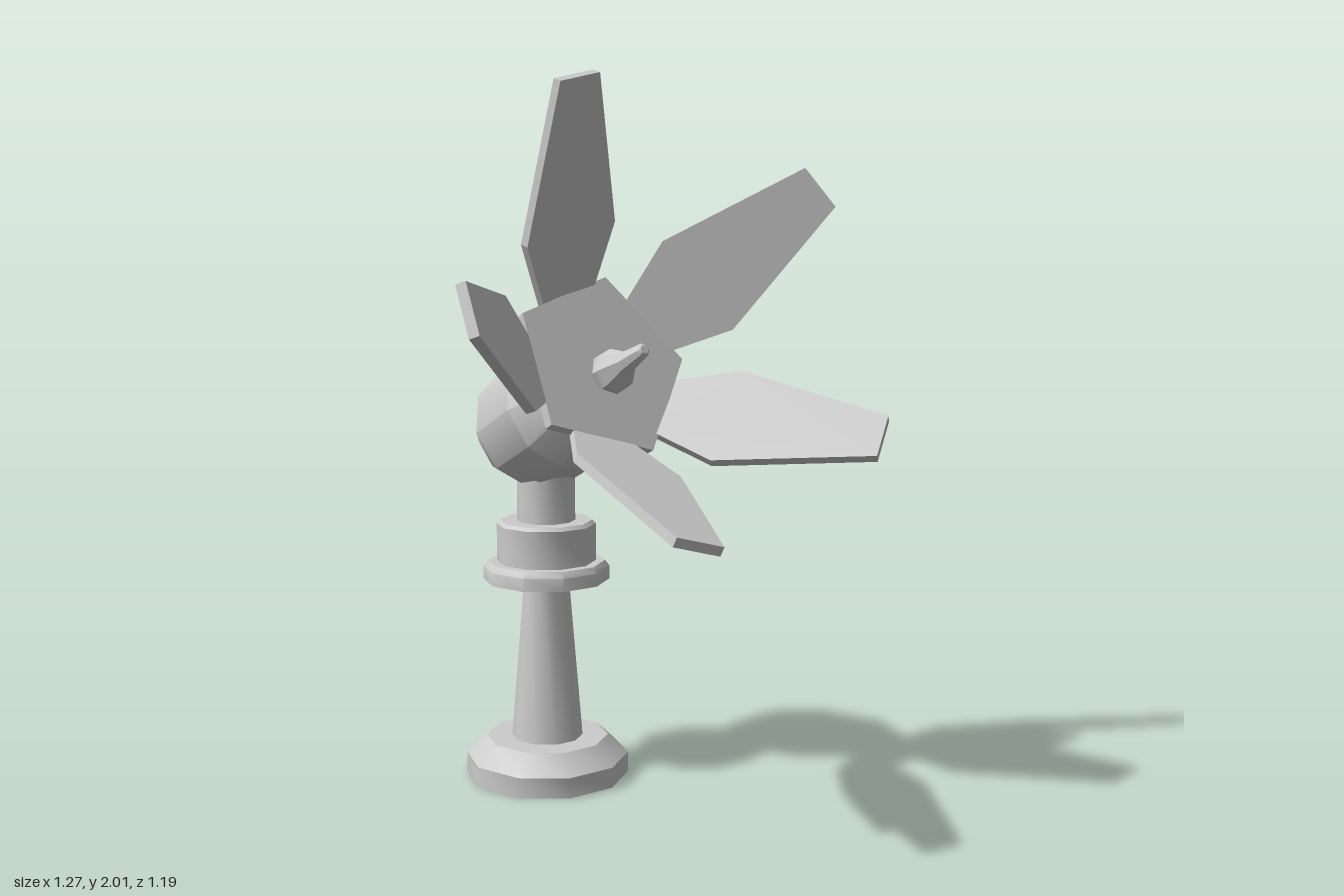
import * as THREE from 'three';
import { toCreasedNormals } from 'three/addons/utils/BufferGeometryUtils.js';

const material = new THREE.MeshStandardMaterial({ color: 0xcccccc });

function part(name, geometry, parent) {
  const mesh = new THREE.Mesh(geometry, material);
  mesh.name = name;
  parent.add(mesh);
  return mesh;
}

// Turned part from [radius, height] pairs, listed bottom to top
function turned(profile, sides = 10) {
  const points = profile.map(([r, y]) => new THREE.Vector2(r, y));
  const geometry = new THREE.LatheGeometry(points, sides, Math.PI / 2);
  return toCreasedNormals(geometry, 0.66);
}

export function createModel() {
  const model = new THREE.Group();

  // Stand, turned about the vertical axis
  const stand = new THREE.Group();
  stand.name = 'stand';
  stand.position.set(0.02, 0, -0.37);
  model.add(stand);
  part('base', turned([[0, 0], [0.24, 0], [0.24, 0.06], [0.18, 0.115], [0, 0.115]]), stand);
  part('pole', turned([[0.105, 0.11], [0.065, 0.6]]), stand);
  part('collar', turned([[0, 0.59], [0.185, 0.59], [0.185, 0.628], [0.172, 0.645], [0, 0.645]]), stand);
  part('drum', turned([[0.145, 0.64], [0.145, 0.755], [0.135, 0.765], [0, 0.765]]), stand);
  part('neck', turned([[0.085, 0.76], [0.085, 1.0]]), stand);

  // Tilted head: local z is the shaft axis, pointing forward and up
  const head = new THREE.Group();
  head.name = 'head';
  head.position.set(0.02, 1.235, -0.09);
  head.rotation.x = -THREE.MathUtils.degToRad(26);
  model.add(head);

  const housing = part('housing', turned([
    [0, -0.51], [0.125, -0.51], [0.19, -0.407], [0.19, -0.22], [0.075, -0.01], [0, -0.01],
  ]), head);
  const spike = part('spike', turned([
    [0.04, 0], [0.062, 0.035], [0.06, 0.06], [0.03, 0.115], [0.02, 0.195], [0.012, 0.203], [0, 0.203],
  ], 8), head);
  for (const mesh of [housing, spike]) {
    mesh.rotation.x = Math.PI / 2;
    mesh.position.y = -0.033;
  }

  // Five-sided hub plate
  const plate = new THREE.CylinderGeometry(0.27, 0.27, 0.032, 5, 1, false, Math.PI / 2);
  part('hubPlate', toCreasedNormals(plate, 0.5), head).rotation.x = Math.PI / 2;

  // Blades, swept forward from the plate edges
  const outline = [[0, -0.085], [0.205, -0.158], [0.636, -0.068], [0.636, 0.068], [0.205, 0.158], [0, 0.085]];
  const shape = new THREE.Shape(outline.map(([x, y]) => new THREE.Vector2(x, y)));
  const bladeGeometry = new THREE.ExtrudeGeometry(shape, { depth: 0.026, bevelEnabled: false });
  bladeGeometry.translate(0, 0, -0.013);
  for (const angle of [30, 104, 180, 253, 321]) {
    const arm = new THREE.Group();
    arm.name = 'bladeArm';
    arm.rotation.z = THREE.MathUtils.degToRad(angle);
    head.add(arm);
    const blade = part('blade', bladeGeometry, arm);
    blade.position.set(0.205, 0, -0.015);
    blade.rotation.y = -THREE.MathUtils.degToRad(45.5);
  }

  return model;
}
